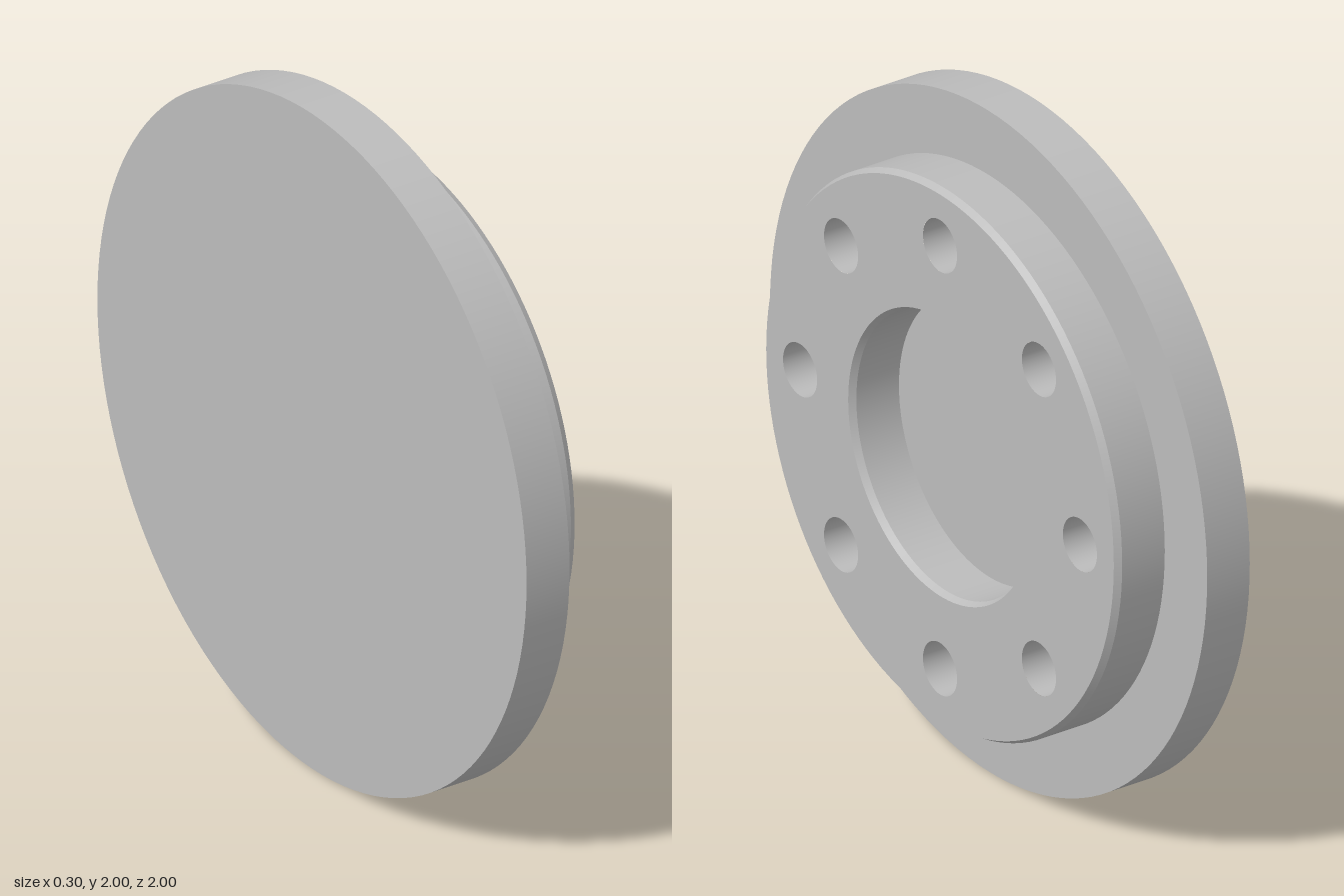
import * as THREE from 'three';

export function createModel() {
  const steel = new THREE.MeshStandardMaterial({ color: 0xbcbcbc });
  steel.name = 'plain grey';

  // Axial positions along the turning axis
  const BACK = -0.152, STEP = -0.01, FACE = 0.152, CHAMFER = 0.132;
  const HOLES = 8, HOLE_R = 0.078, PITCH_R = 0.64;

  const model = new THREE.Group();
  model.name = 'flangedHub';
  const body = new THREE.Group();
  body.name = 'turnedBody';
  body.rotation.y = Math.PI / 2; // turning axis points to +x
  body.position.y = 1;
  model.add(body);

  // Revolves each profile segment on its own, so corners stay sharp
  function turned(name, profile, segments = 128) {
    const part = new THREE.Group();
    part.name = name;
    for (let i = 0; i < profile.length - 1; i++) {
      const pts = [profile[i], profile[i + 1]].map(([r, a]) => new THREE.Vector2(r, a));
      const geo = new THREE.LatheGeometry(pts, segments).rotateX(Math.PI / 2);
      const mesh = new THREE.Mesh(geo, steel);
      mesh.name = name + 'Surface' + (i + 1);
      part.add(mesh);
    }
    body.add(part);
    return part;
  }

  // Wide flange disc and the raised boss with its chamfered rim
  turned('flange', [[0, BACK], [1, BACK], [1, STEP], [0.806, STEP]]);
  turned('boss', [[0.806, STEP], [0.806, CHAMFER], [0.795, FACE]]);

  // Central blind bore with a chamfered mouth
  turned('centreBore', [[0.42, FACE], [0.41, CHAMFER], [0.41, STEP], [0, STEP]]);

  // Boss face, pierced by the bore and the ring of holes
  const face = new THREE.Shape().absarc(0, 0, 0.795, 0, Math.PI * 2, false);
  const pierce = (x, y, r) =>
    face.holes.push(new THREE.Path().absarc(x, y, r, 0, Math.PI * 2, true));
  pierce(0, 0, 0.42);

  // Blind holes; the top one ends in a conical drill point
  for (let i = 0; i < HOLES; i++) {
    const a = Math.PI / 2 + (i * Math.PI * 2) / HOLES;
    const x = PITCH_R * Math.cos(a), y = PITCH_R * Math.sin(a);
    pierce(x, y, HOLE_R);
    const tip = i === 0 ? STEP - 0.09 : STEP;
    const hole = turned(i === 0 ? 'drilledHole' : 'boltHole' + i,
      [[HOLE_R, FACE], [HOLE_R, STEP], [0, tip]], 48);
    hole.position.set(x, y, 0);
  }

  const faceMesh = new THREE.Mesh(new THREE.ShapeGeometry(face, 64), steel);
  faceMesh.name = 'bossFace';
  faceMesh.position.z = FACE;
  body.add(faceMesh);

  return model;
}
